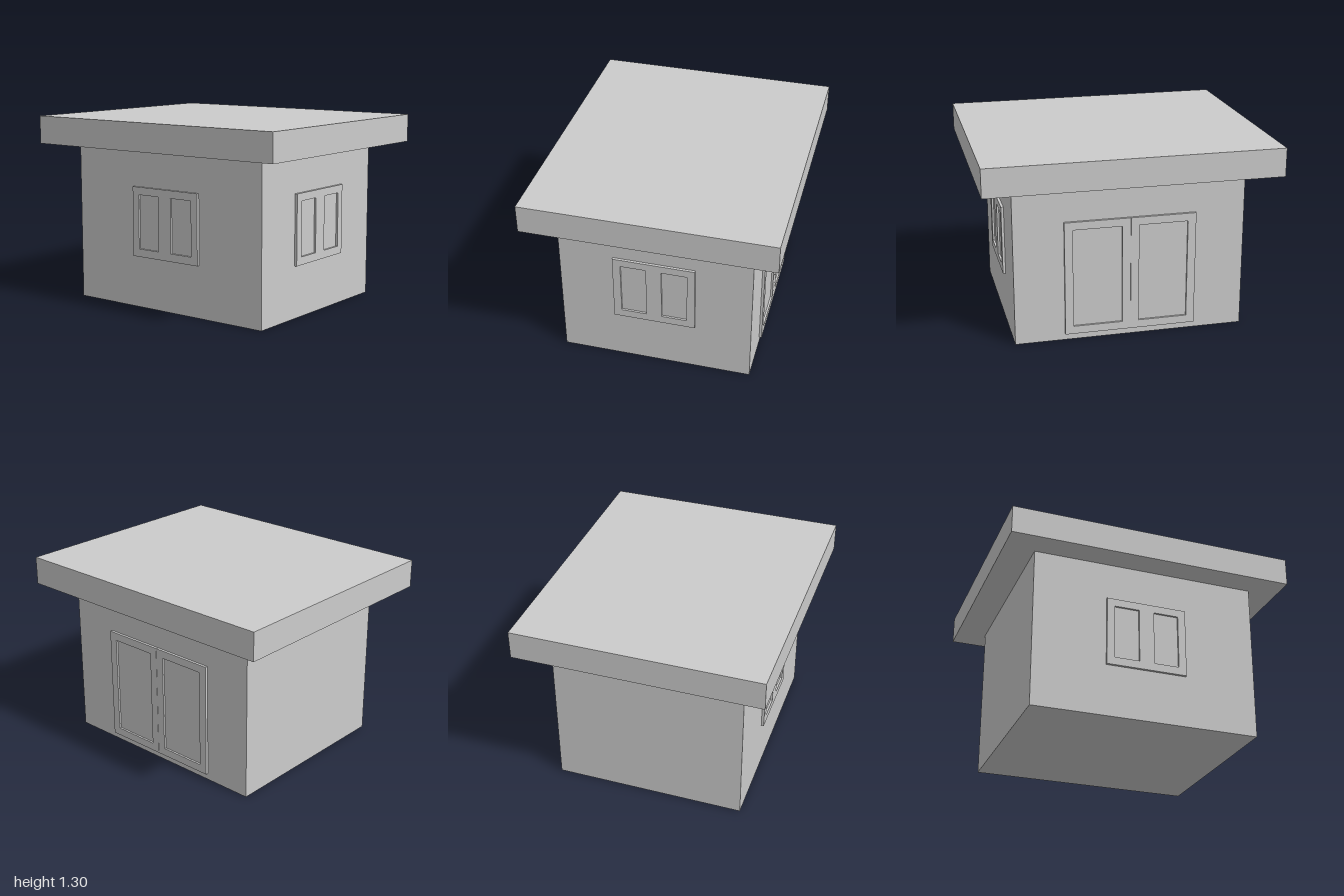
import * as THREE from 'three';

const material = new THREE.MeshStandardMaterial({ color: 0xcccccc, flatShading: true });

function box(name, w, h, d, x, y, z) {
  const mesh = new THREE.Mesh(new THREE.BoxGeometry(w, h, d), material);
  mesh.name = name;
  mesh.position.set(x, y, z);
  return mesh;
}

function rectangle(path, x0, y0, x1, y1) {
  path.moveTo(x0, y0);
  path.lineTo(x1, y0);
  path.lineTo(x1, y1);
  path.lineTo(x0, y1);
  path.closePath();
  return path;
}

// Frame with rectangular openings and thin recessed panes, facing +z with its back at z = 0
function framedOpening(name, outer, panes, depth) {
  const group = new THREE.Group();
  group.name = name;
  const shape = rectangle(new THREE.Shape(), ...outer);
  for (const [x0, y0, x1, y1] of panes) {
    shape.holes.push(rectangle(new THREE.Path(), x0, y0, x1, y1));
    group.add(box('pane', x1 - x0, y1 - y0, 0.004, (x0 + x1) / 2, (y0 + y1) / 2, 0.002));
  }
  const geometry = new THREE.ExtrudeGeometry(shape, { depth, bevelEnabled: false });
  const frame = new THREE.Mesh(geometry, material);
  frame.name = 'frame';
  group.add(frame);
  return group;
}

function makeWindow(name) {
  return framedOpening(name, [-0.282, 0.36, 0.282, 0.845],
    [[-0.228, 0.415, -0.053, 0.792], [0.053, 0.415, 0.228, 0.792]], 0.018);
}

export function createModel() {
  const model = new THREE.Group();
  model.name = 'hut';

  // Walls and overhanging flat roof
  model.add(box('walls', 1.58, 1.11, 1.325, 0, 0.555, 0.002));
  model.add(box('roof', 2, 0.195, 1.7, 0, 1.2075, 0));

  // Front window
  const frontWindow = makeWindow('frontWindow');
  frontWindow.position.z = 0.6645;
  model.add(frontWindow);

  // Window on the +x wall
  const sideWindow = makeWindow('sideWindow');
  sideWindow.rotation.y = Math.PI / 2;
  sideWindow.position.set(0.79, 0, 0.007);
  model.add(sideWindow);

  // Pair of back doors
  const doors = new THREE.Group();
  doors.name = 'backDoors';
  for (const side of [-1, 1]) {
    const leaf = framedOpening('doorLeaf', [-0.2245, 0.045, 0.2245, 0.845],
      [[-0.168, 0.1, 0.168, 0.79]], 0.018);
    leaf.position.x = side * 0.2255;
    doors.add(leaf);
  }
  doors.rotation.y = Math.PI;
  doors.position.z = -0.6605;
  model.add(doors);

  return model;
}
